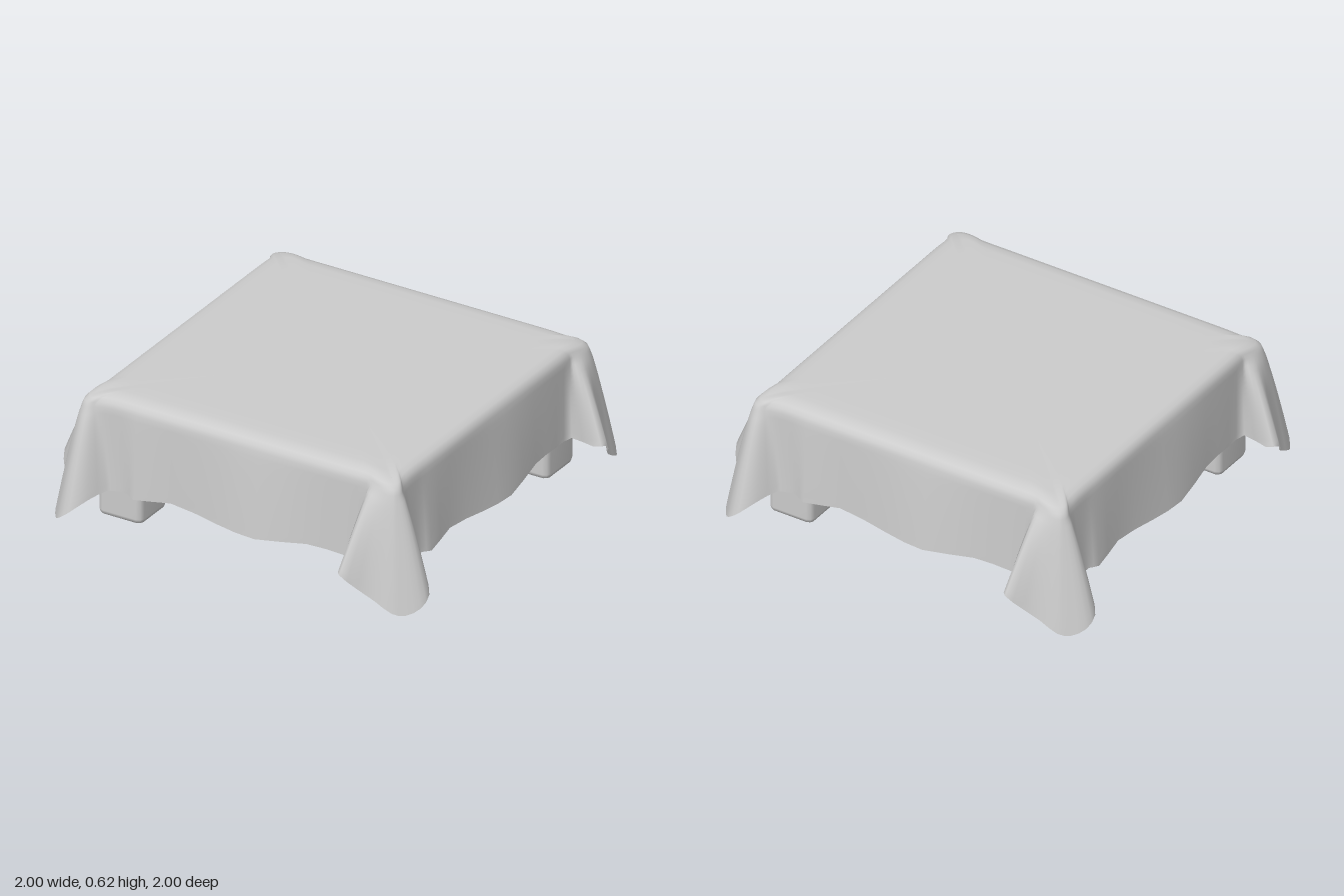
import * as THREE from 'three';
import { RoundedBoxGeometry } from 'three/addons/geometries/RoundedBoxGeometry.js';
import { mergeVertices } from 'three/addons/utils/BufferGeometryUtils.js';

// One quarter of the cloth, from the front round the corner to the side:
// [rim x, rim z, hem x, hem y, hem z]
const QUARTER = [
  [-0.53, 0.795, -0.53, 0.163, 0.820],
  [-0.35, 0.795, -0.35, 0.188, 0.802],
  [-0.10, 0.795, -0.10, 0.163, 0.820],
  [0.10, 0.795, 0.10, 0.155, 0.838],
  [0.35, 0.795, 0.35, 0.188, 0.808],
  [0.54, 0.795, 0.53, 0.183, 0.800],
  [0.650, 0.795, 0.650, 0.178, 0.805],
  [0.672, 0.798, 0.605, 0.195, 0.945],
  [0.700, 0.806, 0.635, 0.200, 0.998],
  [0.740, 0.815, 0.700, 0.130, 0.955],
  [0.775, 0.816, 0.770, 0.075, 0.922],
  [0.797, 0.808, 0.850, 0.030, 0.910],
  [0.806, 0.799, 0.900, 0.020, 0.880],
  [0.813, 0.785, 0.952, 0.050, 0.832],
  [0.814, 0.768, 0.960, 0.095, 0.775],
  [0.808, 0.752, 0.900, 0.145, 0.715],
  [0.800, 0.736, 0.815, 0.165, 0.670],
  [0.795, 0.695, 0.802, 0.168, 0.640],
  [0.795, 0.610, 0.800, 0.172, 0.580],
];
const RIM = 0.795;
const RIM_Y = 0.565;

// Repeats the quarter four times about the vertical axis as a closed curve
function closedCurve(pick) {
  const pts = [];
  for (let q = 0; q < 4; q++) {
    for (const row of QUARTER) {
      let [x, y, z] = pick(row);
      for (let k = 0; k < q; k++) [x, z] = [z, -x];
      pts.push(new THREE.Vector3(x, y, z));
    }
  }
  return new THREE.CatmullRomCurve3(pts, true, 'centripetal');
}

// The cloth sinks a little towards each corner
const sag = (x, z) => 0.014 * THREE.MathUtils.smoothstep(Math.min(Math.abs(x), Math.abs(z)), 0.64, 0.8);

function clothGeometry() {
  const rim = closedCurve((r) => [r[0], RIM_Y, r[1]]);
  const hem = closedCurve((r) => [r[2], r[3], r[4]]);
  const cols = QUARTER.length * 4 * 2;
  const drop = 14;
  // Flat top and rounded edge: [inset from the rim, height]
  const top = [[RIM, 0.62], [0.17, 0.62], [0.09, 0.62], [0.05, 0.615], [0.023, 0.604], [0.007, 0.588]];
  const pos = [];
  const index = [];
  const rimPts = [];
  const hemPts = [];
  for (let j = 0; j < cols; j++) {
    rimPts.push(rim.getPoint(j / cols));
    hemPts.push(hem.getPoint(j / cols));
  }
  for (const [inset, y] of top) {
    const s = 1 - inset / RIM;
    for (const p of rimPts) pos.push(p.x * s, y - sag(p.x * s, p.z * s), p.z * s);
  }
  // Hanging sides, flaring from the rim to the hem
  for (let i = 0; i <= drop; i++) {
    const t = i / drop;
    const f = Math.pow(t, 0.85);
    for (let j = 0; j < cols; j++) {
      const a = rimPts[j];
      const b = hemPts[j];
      const y = a.y - sag(a.x, a.z) * (1 - t);
      pos.push(a.x + (b.x - a.x) * f, y + (b.y - y) * t, a.z + (b.z - a.z) * f);
    }
  }
  const rows = top.length + drop + 1;
  for (let i = 0; i < rows - 1; i++) {
    for (let j = 0; j < cols; j++) {
      const k = (j + 1) % cols;
      const a = i * cols + j;
      const b = a + cols;
      const c = (i + 1) * cols + k;
      const d = i * cols + k;
      if (i > 0) index.push(a, b, d);
      index.push(b, c, d);
    }
  }
  const geo = new THREE.BufferGeometry();
  geo.setAttribute('position', new THREE.Float32BufferAttribute(pos, 3));
  geo.setIndex(index);
  geo.computeVertexNormals();
  // The collapsed centre ring faces straight up
  for (let j = 0; j < cols; j++) geo.attributes.normal.setXYZ(j, 0, 1, 0);
  return geo;
}

// Chamfered box with normals blended across its edges
function softBox(w, h, d, chamfer) {
  const box = new RoundedBoxGeometry(w, h, d, 1, chamfer);
  box.deleteAttribute('normal');
  box.deleteAttribute('uv');
  const geo = mergeVertices(box, 1e-4);
  geo.computeVertexNormals();
  return geo;
}

export function createModel() {
  const model = new THREE.Group();
  model.name = 'coveredTable';
  const grey = new THREE.MeshStandardMaterial({ color: 0xcccccc });
  const fabric = new THREE.MeshStandardMaterial({ color: 0xcccccc, side: THREE.DoubleSide });

  const add = (name, geo, mat, x = 0, y = 0, z = 0) => {
    const mesh = new THREE.Mesh(geo, mat);
    mesh.name = name;
    mesh.position.set(x, y, z);
    model.add(mesh);
  };

  add('tablecloth', clothGeometry(), fabric);

  // Table top under the cloth
  add('tableTop', new RoundedBoxGeometry(1.55, 0.075, 1.55, 2, 0.025), grey, 0, 0.5675, 0);

  // Four square legs with chamfered edges
  const leg = softBox(0.226, 0.55, 0.226, 0.028);
  for (const sx of [-1, 1]) {
    for (const sz of [-1, 1]) {
      const name = (sz > 0 ? 'front' : 'back') + (sx > 0 ? 'Left' : 'Right') + 'Leg';
      add(name, leg, grey, sx * 0.643, 0.275, sz * 0.643);
    }
  }
  return model;
}
